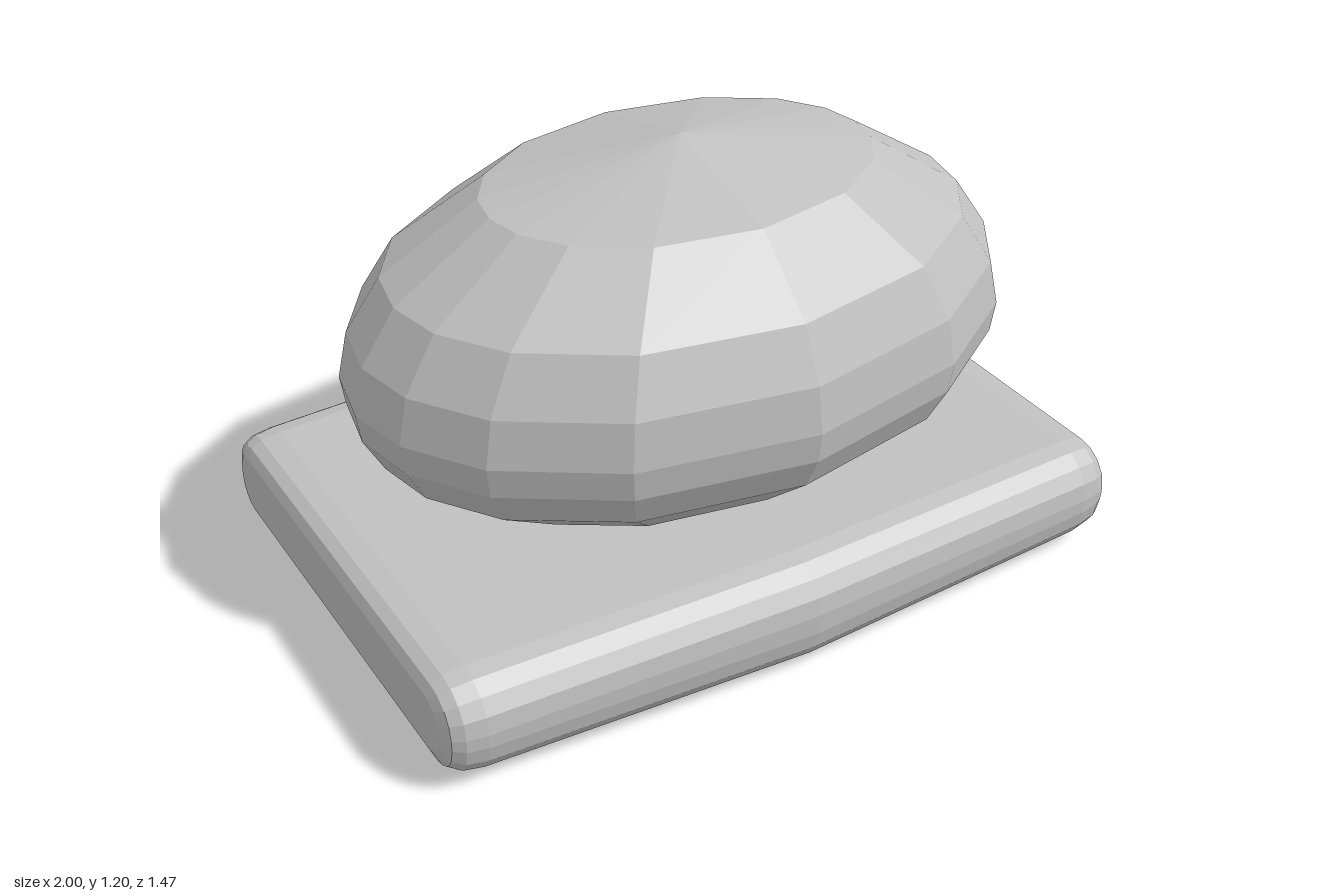
import * as THREE from 'three';

const TAU = Math.PI * 2;

// Skins a list of closed rings with flat facets; a ring of one repeated point makes a tip.
function loft(rings) {
  const pos = [];
  const tri = (a, b, c) => {
    if (new THREE.Triangle(a, b, c).getArea() > 1e-9) {
      for (const p of [a, b, c]) pos.push(p.x, p.y, p.z);
    }
  };
  for (let i = 0; i < rings.length - 1; i++) {
    const lo = rings[i], hi = rings[i + 1], n = lo.length;
    for (let j = 0; j < n; j++) {
      const k = (j + 1) % n;
      tri(lo[j], lo[k], hi[k]);
      tri(lo[j], hi[k], hi[j]);
    }
  }
  const geo = new THREE.BufferGeometry();
  geo.setAttribute('position', new THREE.Float32BufferAttribute(pos, 3));
  geo.computeVertexNormals();
  return geo;
}

// Oval body: [height, x radius, z radius] rings, with facets narrowing towards the ends
function ovalBody() {
  const profile = [
    [0.243, 0, 0], [0.34, 0.63, 0.435], [0.485, 0.86, 0.6], [0.585, 0.915, 0.65],
    [0.67, 0.928, 0.66], [0.795, 0.9, 0.64], [0.935, 0.805, 0.573],
    [1.105, 0.54, 0.385], [1.2, 0, 0],
  ];
  const quarter = [0, 16, 35, 59.5];
  const angles = [
    ...quarter, 90, ...quarter.slice(1).reverse().map((a) => 180 - a),
    ...quarter.map((a) => 180 + a), 270, ...quarter.slice(1).reverse().map((a) => 360 - a),
  ];
  return loft(profile.map(([y, rx, rz]) => angles.map((deg) => {
    const a = deg * TAU / 360;
    return new THREE.Vector3(0.035 + rx * Math.cos(a), y, -rz * Math.sin(a));
  })));
}

// Rounded rectangle across the slab at one x
function slabRing(x, halfZ, bottom, top, radius) {
  const halfY = (top - bottom) / 2, mid = (top + bottom) / 2;
  const r = Math.min(radius, halfY), steps = 4, ring = [];
  for (let corner = 0; corner < 4; corner++) {
    const sy = corner === 0 || corner === 3 ? 1 : -1;
    const sz = corner < 2 ? 1 : -1;
    for (let s = 0; s <= steps; s++) {
      const a = (corner + s / steps) * TAU / 4;
      ring.push(new THREE.Vector3(
        x,
        mid + sy * (halfY - r) + r * Math.cos(a),
        sz * (halfZ - r) + r * Math.sin(a),
      ));
    }
  }
  return ring;
}

// Slab: slightly fuller in the middle, rounded off at both ends
function slab() {
  const half = [
    [0, 0.733, 0, 0.305, 0.125],
    [0.9, 0.692, 0.014, 0.296, 0.122],
    [0.955, 0.683, 0.024, 0.289, 0.115],
    [0.985, 0.665, 0.044, 0.272, 0.1],
    [1, 0.625, 0.08, 0.245, 0.07],
  ];
  const stations = [
    ...half.slice(1).reverse().map(([x, ...rest]) => [-x, ...rest]),
    ...half,
  ];
  const rings = stations.map((s) => slabRing(...s));
  const cap = (x) => rings[0].map(() => new THREE.Vector3(x, 0.16, 0));
  return loft([cap(-1), ...rings, cap(1)]);
}

export function createModel() {
  const grey = new THREE.MeshStandardMaterial({ color: 0xc0c0c0 });
  grey.name = 'grey';
  const group = new THREE.Group();
  group.name = 'ovalOnSlab';
  for (const [name, geometry] of [['baseSlab', slab()], ['ovalBody', ovalBody()]]) {
    const mesh = new THREE.Mesh(geometry, grey);
    mesh.name = name;
    group.add(mesh);
  }
  return group;
}
